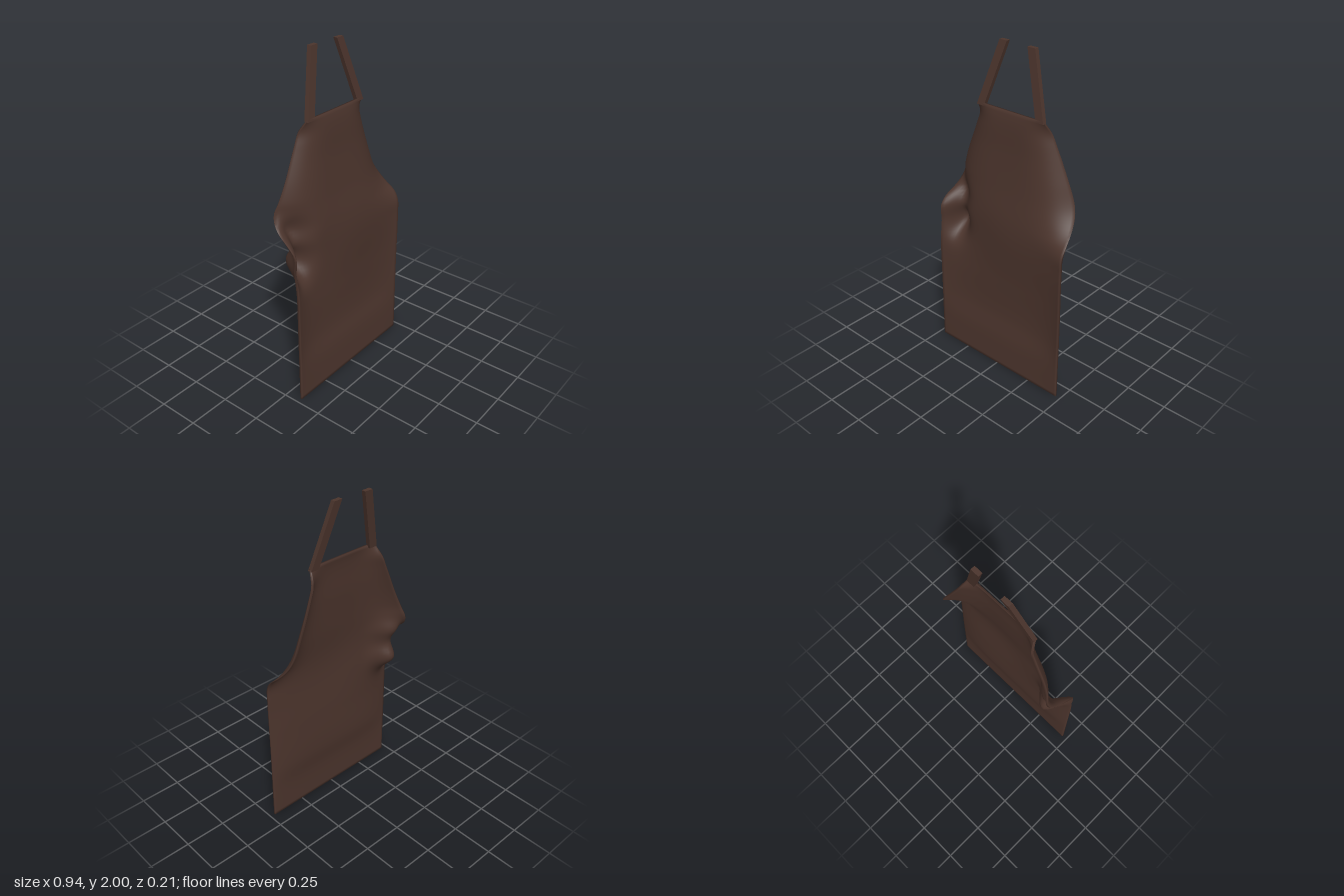
import * as THREE from 'three';

const leather = new THREE.MeshStandardMaterial({ color: 0x4b342c });
leather.name = 'brown leather';

const TOP = 1.645, HALF_THICK = 0.006, COLS = 64, ROWS = 90;

// Smooth curve through [height, value] pairs
function profile(pairs) {
  const curve = new THREE.CubicInterpolant(pairs.map(p => p[0]), pairs.map(p => p[1]), 1, [0]);
  return y => curve.evaluate(THREE.MathUtils.clamp(y, 0, TOP))[0];
}

const halfWidth = y => (y < 1 ? 0.468 : bibWidth(y));
const bibWidth = profile([[0.9, 0.492], [1, 0.468], [1.1, 0.44], [1.2, 0.406], [1.4, 0.325], [1.55, 0.264], [TOP, 0.232]]);
const middleZ = profile([[0, 0.095], [0.2, 0.085], [0.35, 0.064], [0.6, 0.062], [0.9, 0.073], [1, 0.067], [1.2, 0.036], [1.4, 0.012], [1.6, -0.005], [TOP, -0.015]]);
const leftEdgeZ = profile([[0, 0.095], [0.5, 0.094], [0.85, 0.094], [0.95, 0.088], [1, 0.06], [1.05, 0.005], [1.1, -0.04], [1.15, -0.07], [1.2, -0.084], [1.3, -0.086], [1.5, -0.075], [1.57, -0.065], [1.62, -0.035], [TOP, -0.018]]);
const rightEdgeZ = profile([[0, 0.095], [0.5, 0.094], [0.85, 0.094], [0.95, 0.088], [1, 0.045], [1.05, -0.03], [1.1, -0.075], [1.15, -0.094], [1.2, -0.085], [1.3, -0.074], [1.5, -0.07], [1.57, -0.065], [1.62, -0.035], [TOP, -0.018]]);

// Hollow pressed into the cloth, steeper toward the side edge than toward the middle
function dent(x, y, cx, cy, outer, inner, sy, depth) {
  const sx = x < cx ? outer : inner;
  return -depth * Math.exp(-(((x - cx) / sx) ** 2 + ((y - cy) / sy) ** 2) / 2);
}

// Middle surface of the cloth: u runs across (-1..1), y is the height
function cloth(u, y) {
  const x = u * halfWidth(y);
  const edge = u > 0 ? leftEdgeZ(y) : rightEdgeZ(y);
  const fold = Math.abs(u) ** 4.5;
  const z = THREE.MathUtils.lerp(middleZ(y), edge, fold)
    + dent(x, y, -0.38, 0.86, 0.04, 0.06, 0.07, 0.12)
    + dent(x, y, -0.375, 1.03, 0.04, 0.06, 0.06, 0.075)
    + dent(x, y, -0.32, 0.88, 0.07, 0.17, 0.16, 0.03);
  return new THREE.Vector3(x, y, z);
}

// The same surface pushed out along its normal to give the cloth thickness
function clothSide(u, y, side) {
  const e = 0.004;
  const across = cloth(Math.min(u + e, 1), y).sub(cloth(Math.max(u - e, -1), y));
  const up = cloth(u, Math.min(y + e, TOP)).sub(cloth(u, Math.max(y - e, 0)));
  const p = cloth(u, y).addScaledVector(across.cross(up).normalize(), side * HALF_THICK);
  p.y = y;
  return p;
}

// Closed sheet made of one loop (front then back) per row
function apronGeometry() {
  const ring = 2 * (COLS + 1), pos = [], index = [];
  for (let j = 0; j <= ROWS; j++) {
    const y = TOP * j / ROWS;
    for (let i = 0; i < ring; i++) {
      const front = i <= COLS;
      const u = 2 * (front ? i : ring - 1 - i) / COLS - 1;
      pos.push(...clothSide(u, y, front ? 1 : -1).toArray());
    }
  }
  for (let j = 0; j < ROWS; j++) {
    for (let i = 0; i < ring; i++) {
      const a = j * ring + i, b = j * ring + (i + 1) % ring;
      index.push(a, b, b + ring, a, b + ring, a + ring);
    }
  }
  // Bottom and top hems
  const t = ROWS * ring;
  for (let i = 0; i < COLS; i++) {
    const f = i, g = i + 1, bf = ring - 1 - i, bg = ring - 2 - i;
    index.push(f, bf, bg, f, bg, g);
    index.push(t + f, t + g, t + bg, t + f, t + bg, t + bf);
  }
  const geo = new THREE.BufferGeometry();
  geo.setAttribute('position', new THREE.Float32BufferAttribute(pos, 3));
  geo.setIndex(index);
  geo.computeVertexNormals();
  return geo;
}

// Neck strap: a flat bar leaning inward and back
function strapGeometry(side, topZ) {
  const height = 2 - 1.63;
  const geo = new THREE.BoxGeometry(0.052, height, 0.026);
  const p = geo.attributes.position;
  for (let i = 0; i < p.count; i++) {
    const t = p.getY(i) / height + 0.5;
    p.setX(i, p.getX(i) + side * THREE.MathUtils.lerp(0.211, 0.101, t));
    p.setZ(i, p.getZ(i) + THREE.MathUtils.lerp(-0.023, topZ, t));
    p.setY(i, 1.63 + t * height);
  }
  geo.computeVertexNormals();
  return geo;
}

export function createModel() {
  const group = new THREE.Group();
  group.name = 'apron';
  const add = (name, geo) => {
    const mesh = new THREE.Mesh(geo, leather);
    mesh.name = name;
    group.add(mesh);
  };
  add('apronPanel', apronGeometry());
  add('leftNeckStrap', strapGeometry(1, -0.081));
  add('rightNeckStrap', strapGeometry(-1, -0.09));
  return group;
}
